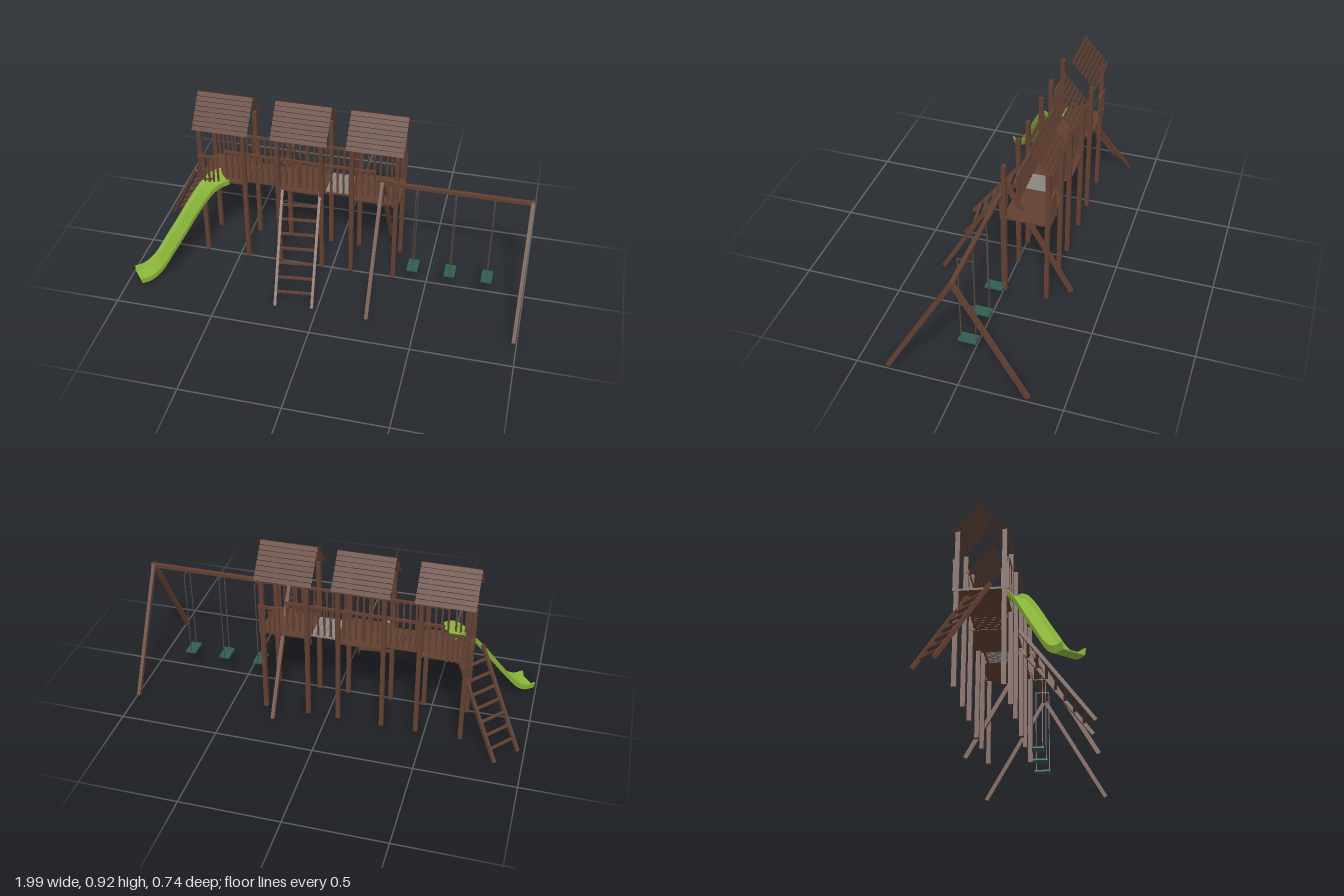
import * as THREE from 'three';

const wood = new THREE.MeshStandardMaterial({ color: 0x623f31 });
const roofWood = new THREE.MeshStandardMaterial({ color: 0x623f31, side: THREE.DoubleSide });
const slideGreen = new THREE.MeshStandardMaterial({ color: 0x8cb83a });
const seatGreen = new THREE.MeshStandardMaterial({ color: 0x2d5e50 });
const ropeBrown = new THREE.MeshStandardMaterial({ color: 0x55483f });
const bridgeGrey = new THREE.MeshStandardMaterial({ color: 0x8c8682 });
wood.name = 'wood';
roofWood.name = 'roof wood';
slideGreen.name = 'slide green';
seatGreen.name = 'seat green';
ropeBrown.name = 'rope brown';
bridgeGrey.name = 'bridge grey';

const TOWERS = [-0.568, -0.168, 0.212]; // tower centres in x
const FRONT = -0.004, BACK = -0.22;     // post rows in z
const MID = -0.114;
const DECK = 0.47;

function box(parent, name, w, h, d, x, y, z, mat = wood) {
  const m = new THREE.Mesh(new THREE.BoxGeometry(w, h, d), mat);
  m.name = name;
  m.position.set(x, y, z);
  parent.add(m);
  return m;
}

// Square bar running between two points
function bar(parent, name, a, b, w, h, mat = wood) {
  const p = new THREE.Vector3(...a), q = new THREE.Vector3(...b);
  const m = new THREE.Mesh(new THREE.BoxGeometry(w, h, p.distanceTo(q)), mat);
  m.name = name;
  m.position.copy(p).add(q).multiplyScalar(0.5);
  m.lookAt(q);
  parent.add(m);
}

function group(parent, name) {
  const g = new THREE.Group();
  g.name = name;
  parent.add(g);
  return g;
}

// Gable roof of overlapping thin slats
function addRoof(parent, x) {
  const roof = group(parent, 'roof');
  const n = 8, base = 0.768, rise = 0.15, half = 0.132, tilt = 0.45;
  for (const side of [1, -1]) {
    for (let i = 0; i < n; i++) {
      const t = (i + 0.5) / n;
      const slat = new THREE.Mesh(new THREE.PlaneGeometry(0.284, 0.0225), roofWood);
      slat.name = 'roofSlat';
      slat.position.set(x, base + rise * t, MID + side * half * (1 - t));
      slat.rotation.set(-side * tilt, side > 0 ? 0 : Math.PI, 0);
      roof.add(slat);
    }
  }
}

// Handrail with balusters along x
function addRail(parent, name, x0, x1, z, top, count) {
  const g = group(parent, name);
  box(g, 'handrail', x1 - x0, 0.012, 0.013, (x0 + x1) / 2, top - 0.006, z);
  for (let i = 0; i <= count; i++) {
    const x = x0 + 0.006 + (x1 - x0 - 0.012) * i / count;
    box(g, 'baluster', 0.009, top - 0.012 - 0.462, 0.008, x, (top - 0.012 + 0.462) / 2, z);
  }
}

// Ladder: two sloping rails joined by rungs
function addLadder(parent, name, topA, footA, topB, footB) {
  const g = group(parent, name);
  bar(g, 'ladderRail', footA, topA, 0.014, 0.018);
  bar(g, 'ladderRail', footB, topB, 0.014, 0.018);
  const at = (p, q, t) => p.map((v, i) => v + (q[i] - v) * t);
  for (let i = 1; i <= 7; i++) {
    const t = i * 0.125;
    bar(g, 'rung', at(footA, topA, t), at(footB, topB, t), 0.014, 0.009);
  }
}

// Trough slide swept down a curved profile
function slideGeometry() {
  const profile = new THREE.CatmullRomCurve3(
    [[0, 0.008], [0.05, 0.01], [0.11, 0.045], [0.185, 0.14], [0.26, 0.24],
      [0.34, 0.35], [0.415, 0.435], [0.46, 0.463], [0.512, 0.47]]
      .map(([s, y]) => new THREE.Vector3(s, y, 0)));
  const section = [[-0.06, 0.033], [-0.054, 0], [0.054, 0], [0.06, 0.033],
    [0.053, 0.033], [0.044, 0.006], [-0.044, 0.006], [-0.053, 0.033]];
  const steps = 28, n = section.length, pos = [], idx = [];
  for (let k = 0; k <= steps; k++) {
    const p = profile.getPoint(k / steps);
    for (const [u, v] of section) {
      pos.push(-0.955 + 0.763 * p.x + 0.646 * u, p.y + v, 0.315 - 0.646 * p.x + 0.763 * u);
    }
  }
  for (let k = 0; k < steps; k++) {
    for (let i = 0; i < n; i++) {
      const p0 = k * n + i, q0 = k * n + (i + 1) % n;
      idx.push(q0, p0, p0 + n, q0, p0 + n, q0 + n);
    }
  }
  const e = steps * n;
  for (let i = 0; i < 3; i++) {
    const [a, b, c, d] = [i, i + 1, 6 - i, 7 - i];
    idx.push(a, b, c, a, c, d, e + a, e + c, e + b, e + a, e + d, e + c);
  }
  const geo = new THREE.BufferGeometry();
  geo.setAttribute('position', new THREE.Float32BufferAttribute(pos, 3));
  geo.setIndex(idx);
  const flat = geo.toNonIndexed();
  flat.computeVertexNormals();
  return flat;
}

export function createModel() {
  const model = new THREE.Group();
  model.name = 'playground';

  // Towers: posts, deck and roof
  for (const x of TOWERS) {
    const tower = group(model, 'tower');
    for (const dx of [-0.1125, 0.1125]) {
      for (const z of [FRONT, BACK]) box(tower, 'post', 0.021, 0.768, 0.022, x + dx, 0.384, z);
    }
    box(tower, 'deck', 0.25, 0.01, 0.228, x, DECK - 0.005, MID);
    addRoof(tower, x);
  }

  // Outer guard rails on the end towers
  for (const z of [0.012, -0.234]) {
    addRail(model, 'leftEndRail', 0.23, 0.34, z, 0.622, 4);
    addRail(model, 'rightEndRail', -0.692, -0.585, z, 0.622, 4);
  }

  // Bridges: planks between decks, long rails on both sides
  [[-0.442, -0.294, wood], [-0.042, 0.086, bridgeGrey]].forEach(([x0, x1, mat], b) => {
    const bridge = group(model, 'bridge');
    const count = 6, w = (x1 - x0) / count;
    for (let i = 0; i < count; i++) {
      box(bridge, 'bridgePlank', w - 0.002, 0.008, 0.165, x0 + w * (i + 0.5), DECK - 0.005, MID - 0.003, mat);
    }
    for (const z of [-0.033, -0.192]) {
      box(bridge, 'bridgeBeam', x1 - x0, 0.008, 0.01, (x0 + x1) / 2, DECK - 0.006, z);
      addRail(bridge, 'bridgeRail', b ? -0.175 : -0.565, b ? 0.215 : -0.175, z, 0.635, 12);
    }
  });

  // Ladders
  addLadder(model, 'frontLadder',
    [-0.255, 0.47, 0.005], [-0.21, 0.007, 0.36], [-0.065, 0.47, -0.015], [-0.025, 0.007, 0.338]);
  addLadder(model, 'backLadder',
    [-0.735, 0.465, -0.06], [-0.968, 0.007, -0.252], [-0.633, 0.465, -0.175], [-0.87, 0.007, -0.365]);

  // Slide
  const slide = new THREE.Mesh(slideGeometry(), slideGreen);
  slide.name = 'slide';
  model.add(slide);

  // Swing frame
  const swings = group(model, 'swingSet');
  box(swings, 'topBeam', 0.765, 0.018, 0.02, 0.6175, 0.604, 0.01);
  for (const x of [0.256, 0.985]) {
    bar(swings, 'frameLeg', [x, 0.008, 0.35], [x, 0.608, 0.01], 0.018, 0.022);
    bar(swings, 'frameLeg', [x, 0.012, -0.33], [x, 0.608, 0.01], 0.018, 0.022);
  }

  // Swings
  for (const x of [0.43, 0.62, 0.808]) {
    const swing = group(swings, 'swing');
    box(swing, 'swingSeat', 0.055, 0.009, 0.09, x, 0.11, 0.013, seatGreen);
    for (const z of [0.05, -0.024]) box(swing, 'rope', 0.004, 0.475, 0.005, x, 0.348, z, ropeBrown);
    box(swing, 'ropeHanger', 0.005, 0.006, 0.079, x, 0.588, 0.013, ropeBrown);
  }
  return model;
}
